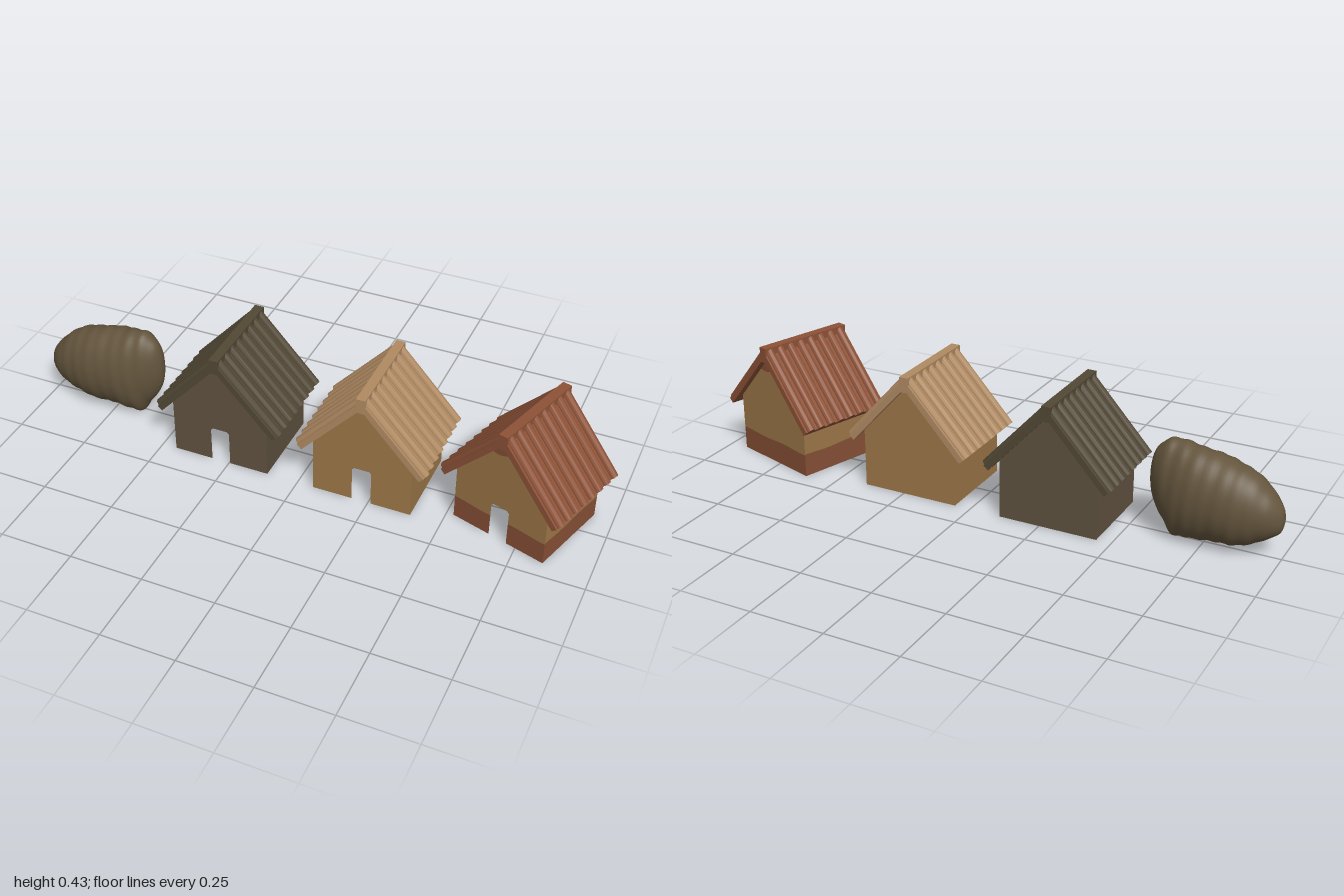
import * as THREE from 'three';
import { toCreasedNormals, mergeVertices } from 'three/addons/utils/BufferGeometryUtils.js';

const HALF_W = 0.17, HALF_D = 0.148, ROOF_D = 0.172, SLOPE = 1.1;
const UNDER = 0.388, SEC = Math.hypot(1, SLOPE);

const mat = (name, color, side = THREE.FrontSide) => {
  const m = new THREE.MeshStandardMaterial({ color, side });
  m.name = name;
  return m;
};

function mesh(name, geometry, material) {
  const m = new THREE.Mesh(geometry, material);
  m.name = name;
  return m;
}

// Thin wall piece between heights lo(x) and hi(x), cut by the roof line and the doorway
function wallPiece(halfWidth, roofLine, lo, hi, door) {
  const xs = [];
  for (let i = 0; i <= 24; i++) xs.push(-halfWidth + (i / 24) * 2 * halfWidth);
  if (door) for (const s of [-1, 1]) xs.push(s * 0.0331, s * 0.033, s * 0.025);
  xs.sort((a, b) => a - b);
  const geo = new THREE.PlaneGeometry(1, 1, xs.length - 1, 1);
  const pos = geo.attributes.position;
  xs.forEach((x, i) => {
    const ax = Math.abs(x);
    const opening = door && ax <= 0.03305 ? 0.13 - Math.max(0, ax - 0.025) : 0;
    const top = Math.min(hi(x), roofLine(x));
    // bottoms may rise to the top, closing the piece there
    const bottom = Math.max(lo(x), opening);
    pos.setXYZ(i, x, Math.max(top, 0), 0);
    pos.setXYZ(i + xs.length, x, Math.min(bottom, top), 0);
  });
  geo.computeVertexNormals();
  return geo;
}

// Corrugated roof slab for the +x side: ribbed profile swept from ridge to eave
function roofSlab() {
  const ribs = 8, pitch = (2 * ROOF_D) / ribs, r = 0.0145, base = 0.021;
  const s = new THREE.Shape();
  s.moveTo(-ROOF_D, 0);
  s.lineTo(ROOF_D, 0);
  s.lineTo(ROOF_D, base);
  for (let i = ribs - 1; i >= 0; i--) {
    const c = -ROOF_D + (i + 0.5) * pitch;
    s.lineTo(c + r, base);
    s.absarc(c, base, r, 0, Math.PI, false);
  }
  s.lineTo(-ROOF_D, base);
  s.closePath();
  const geo = new THREE.ExtrudeGeometry(s, { depth: 1, bevelEnabled: false, curveSegments: 10 });
  const pos = geo.attributes.position;
  for (let i = 0; i < pos.count; i++) {
    const a = pos.getX(i), b = pos.getY(i), c = pos.getZ(i);
    // vertical cut at the ridge, square cut at the eave
    const x0 = 0.014, y0 = UNDER - SLOPE * x0 + b * SEC;
    const x1 = 0.2 + (b * SLOPE) / SEC, y1 = UNDER - SLOPE * 0.2 + b / SEC;
    pos.setXYZ(i, x0 + (x1 - x0) * c, y0 + (y1 - y0) * c, -a);
  }
  return toCreasedNormals(geo, 0.6);
}

// layers: [name, material, lower edge, upper edge]
function house(name, layers, roofMat) {
  const g = new THREE.Group();
  g.name = name;
  const gable = (x) => 0.4 - SLOPE * Math.abs(x);
  const eave = () => 0.4 - SLOPE * HALF_W;
  for (const [label, material, lo, hi] of layers) {
    const front = mesh('frontWall' + label, wallPiece(HALF_W, gable, lo, hi, true), material);
    front.position.z = HALF_D;
    const back = mesh('backWall' + label, wallPiece(HALF_W, gable, lo, hi, false), material);
    back.position.z = -HALF_D;
    back.rotation.y = Math.PI;
    g.add(front, back);
    if (lo(0) > 0.25) continue;
    for (const s of [-1, 1]) {
      const wall = mesh((s > 0 ? 'leftWall' : 'rightWall') + label, wallPiece(HALF_D, eave, lo, hi, false), material);
      wall.position.x = s * HALF_W;
      wall.rotation.y = (s * Math.PI) / 2;
      g.add(wall);
    }
  }
  const slab = roofSlab();
  const left = mesh('leftRoof', slab, roofMat);
  const right = mesh('rightRoof', slab, roofMat);
  right.rotation.y = Math.PI;
  const cap = mesh('ridgeCap', new THREE.BoxGeometry(0.032, 0.052, ROOF_D * 2), roofMat);
  cap.position.y = 0.401;
  g.add(left, right, cap);
  return g;
}

// Boulder: a sphere whose rings follow upper and lower outlines
function boulder(material) {
  const outline = new THREE.CatmullRomCurve3([
    [-1, 0.13, 0.13], [-0.99, 0.175, 0.09], [-0.95, 0.225, 0.06], [-0.9, 0.265, 0.035],
    [-0.84, 0.292, 0.018], [-0.76, 0.31, 0.016], [-0.69, 0.325, 0.006], [-0.65, 0.329, 0.006],
    [-0.62, 0.325, 0.05], [-0.585, 0.295, 0.1], [-0.569, 0.25, 0.15], [-0.565, 0.2, 0.2],
  ].map((p) => new THREE.Vector3(...p)));
  let geo = new THREE.SphereGeometry(1, 48, 72);
  geo.rotateZ(-Math.PI / 2);
  const pos = geo.attributes.position, p = new THREE.Vector3();
  for (let i = 0; i < pos.count; i++) {
    const x = pos.getX(i), y = pos.getY(i), z = pos.getZ(i);
    const u = Math.acos(THREE.MathUtils.clamp(-x, -1, 1)) / Math.PI;
    const r = Math.hypot(y, z) || 1;
    outline.getPoint(u, p);
    const k = (p.x + 0.7825) / 0.2175;
    const ripple = 1 + 0.012 * Math.sin(p.x * 130 + 2 * y) + 0.012 * Math.sin(p.x * 47 + 3 * z);
    const mid = (p.y + p.z) / 2, half = (p.y - p.z) / 2;
    const depth = 0.1 * Math.sqrt(Math.max(0, 1 - k * k)) * ripple;
    pos.setXYZ(i, p.x, Math.max(0, mid + (y / r) * half * ripple), (z / r) * depth);
  }
  geo.deleteAttribute('uv');
  geo.deleteAttribute('normal');
  geo = mergeVertices(geo, 1e-5);
  geo.computeVertexNormals();
  return mesh('boulder', geo, material);
}

export function createModel() {
  const D = THREE.DoubleSide;
  const stone = mat('stone', 0x64553d);
  const darkWall = mat('darkWood', 0x5f523f, D);
  const darkRoof = mat('darkThatch', 0x524835);
  const tanWall = mat('tanClay', 0x9c7648, D);
  const tanRoof = mat('paleTimber', 0xb08a62);
  const redBand = mat('redClay', 0x854f34, D);
  const redRoof = mat('redTile', 0x8d5237);

  const ground = () => 0, sky = () => 1;
  const band = (x) => 0.079 + 0.002 * Math.sin(x * 30);
  const peak = (x) => 0.335 + 0.006 * Math.sin(x * 60);

  const model = new THREE.Group();
  model.name = 'boulderAndHouses';
  const dark = house('darkHouse', [['', darkWall, ground, sky]], darkRoof);
  dark.position.x = -0.279;
  const tan = house('tanHouse', [['', tanWall, ground, sky]], tanRoof);
  tan.position.x = 0.226;
  const red = house('redHouse', [
    ['Base', redBand, ground, band],
    ['Upper', tanWall, band, peak],
    ['Peak', redBand, peak, sky],
  ], redRoof);
  red.position.x = 0.73;
  red.rotation.y = -0.302;
  model.add(boulder(stone), dark, tan, red);
  return model;
}
